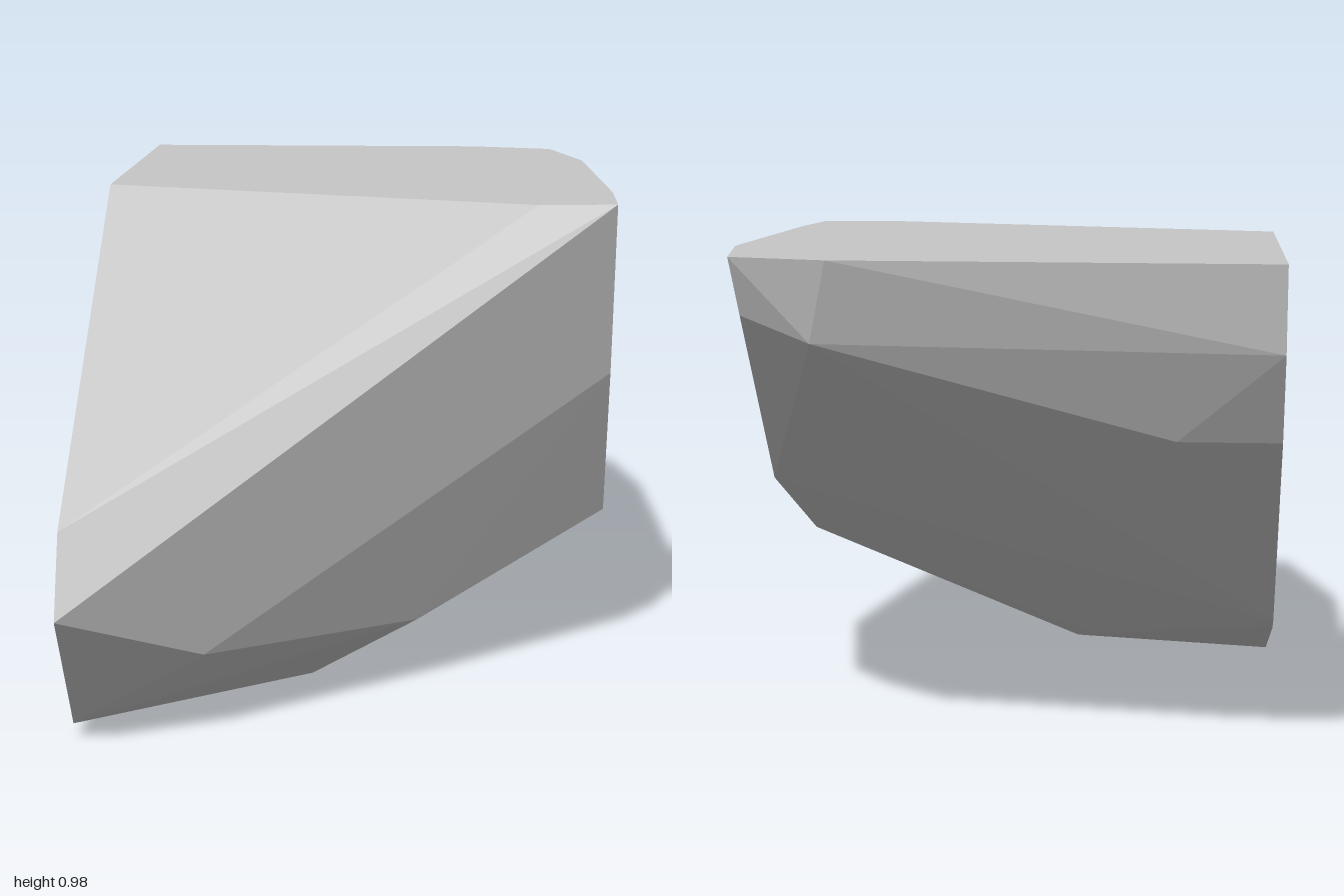
import * as THREE from 'three';
import { ConvexGeometry } from 'three/addons/geometries/ConvexGeometry.js';

export function createModel() {
  const group = new THREE.Group();
  group.name = 'rock';
  const stone = new THREE.MeshStandardMaterial({ color: 0xc6c6c6, flatShading: true });
  stone.name = 'paleGreyStone';

  // Flat cut side, as [y, z] corners at constant x
  const CUT_X = -0.53;
  const cutSide = [
    [0.98, -1], [0.98, 0.05], [0.44, 0.93], [0.29, 1], [0.03, 0.79],
    [0.04, 0.12], [0.2, -0.38], [0.23, -0.44], [0.65, -0.86], [0.82, -0.97],
  ].map(([y, z]) => [CUT_X, y, z]);

  // Flat top, as [x, z] corners at constant y
  const TOP_Y = 0.98;
  const top = [
    [0.28, -0.96], [0.47, -0.88], [0.525, -0.55], [0.527, 0.2], [0.515, 0.44], [0.36, 0.45],
  ].map(([x, z]) => [x, TOP_Y, z]);

  // Chipped front, underside, back and right corners
  const chips = [
    [-0.28, 0.17, 0.8], [0.125, 0.14, 0.46], [-0.09, 0, 0.38], [-0.16, 0.12, -0.12],
    [0.52, 0.31, 0.21], [0.515, 0.63, 0.36], [0.527, 0.72, 0.07], [0.525, 0.8, -0.4],
    [0.46, 0.335, -0.06], [0.485, 0.5, -0.4], [0.03, 0.375, -0.425],
    [0.46, 0.87, -0.83], [0.32, 0.826, -0.9], [-0.34, 0.65, -0.86],
  ];

  const points = [...cutSide, ...top, ...chips].map((p) => new THREE.Vector3(...p));
  const boulder = new THREE.Mesh(new ConvexGeometry(points), stone);
  boulder.name = 'boulder';
  group.add(boulder);
  return group;
}
